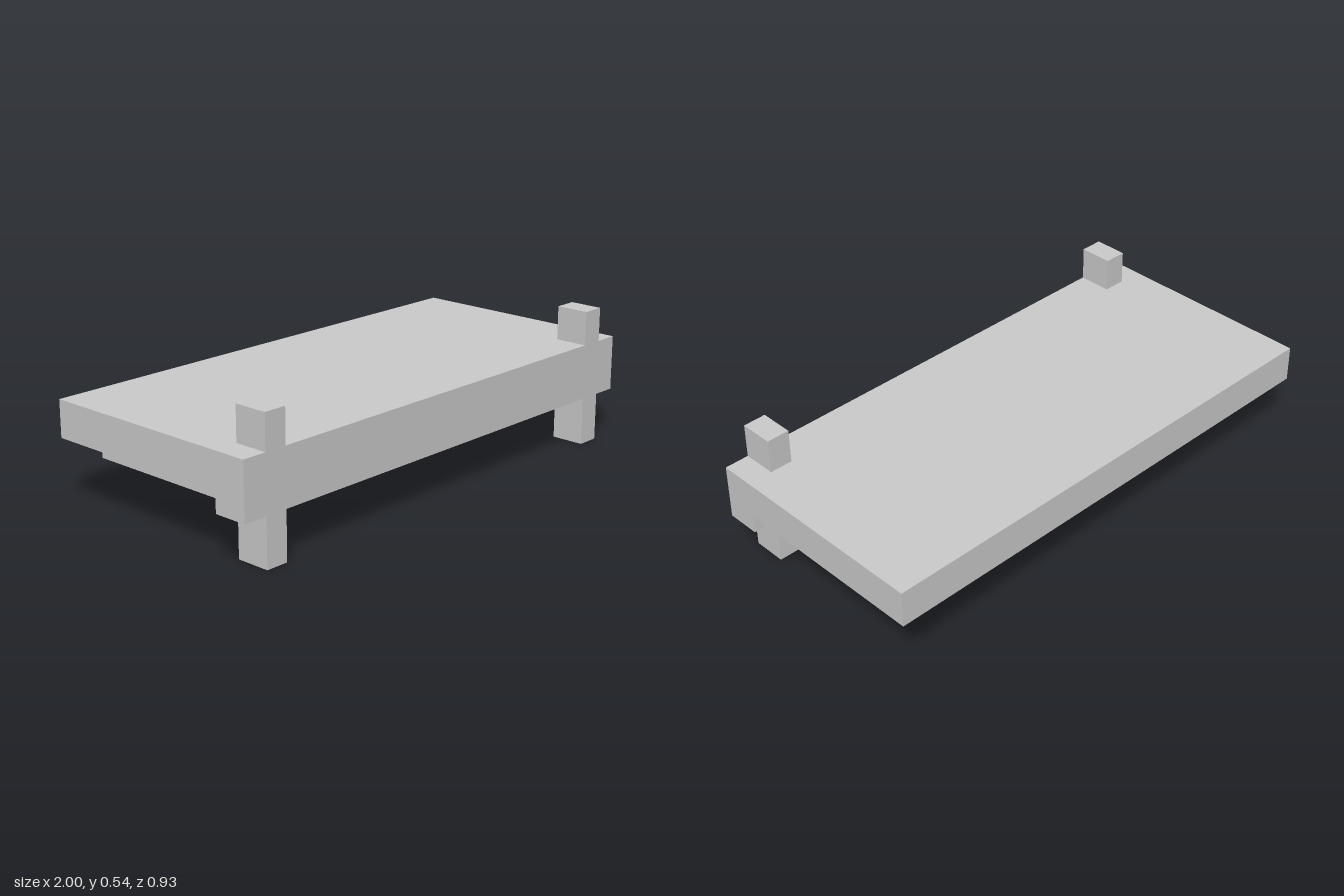
import * as THREE from 'three';

const material = new THREE.MeshStandardMaterial({ color: 0xcccccc, flatShading: true });

const FRONT = 0.463, BACK = -0.463, RAIL_BACK = 0.33;
const RAIL_Y = 0.186, SLAB_Y = 0.26, TOP_Y = 0.402, HEIGHT = 0.535;
const POST_X = 0.859, POST_W = 0.09;

// Extrudes a side profile of [z, y] points along x, centred on x = 0
function sideProfile(name, points, width) {
  const shape = new THREE.Shape(points.map(([z, y]) => new THREE.Vector2(-z, y)));
  const geometry = new THREE.ExtrudeGeometry(shape, { depth: width, bevelEnabled: false });
  geometry.translate(0, 0, -width / 2).rotateY(Math.PI / 2);
  const mesh = new THREE.Mesh(geometry, material);
  mesh.name = name;
  return mesh;
}

// Square post section between two heights, flush with the front
function post(name, x, y0, y1) {
  const depth = FRONT - RAIL_BACK;
  const mesh = new THREE.Mesh(new THREE.BoxGeometry(POST_W, y1 - y0, depth), material);
  mesh.position.set(x, (y0 + y1) / 2, RAIL_BACK + depth / 2);
  mesh.name = name;
  return mesh;
}

export function createModel() {
  const model = new THREE.Group();
  model.name = 'platform';

  // Slab with a deeper rail along its front edge
  model.add(sideProfile('slabWithFrontRail', [
    [FRONT, RAIL_Y], [RAIL_BACK, RAIL_Y], [RAIL_BACK, SLAB_Y],
    [BACK, SLAB_Y], [BACK, TOP_Y], [FRONT, TOP_Y],
  ], 2));

  for (const [side, sign] of [['left', 1], ['right', -1]]) {
    const x = sign * POST_X;
    // Foot below the rail and stub above the slab
    model.add(post(side + 'Foot', x, 0, RAIL_Y));
    model.add(post(side + 'PostTop', x, TOP_Y, HEIGHT));

    // Runner under the slab, its back end slightly slanted
    const runner = sideProfile(side + 'Runner', [
      [RAIL_BACK, RAIL_Y], [-0.36, RAIL_Y], [-0.364, SLAB_Y], [RAIL_BACK, SLAB_Y],
    ], POST_W);
    runner.position.x = x;
    model.add(runner);
  }
  return model;
}
